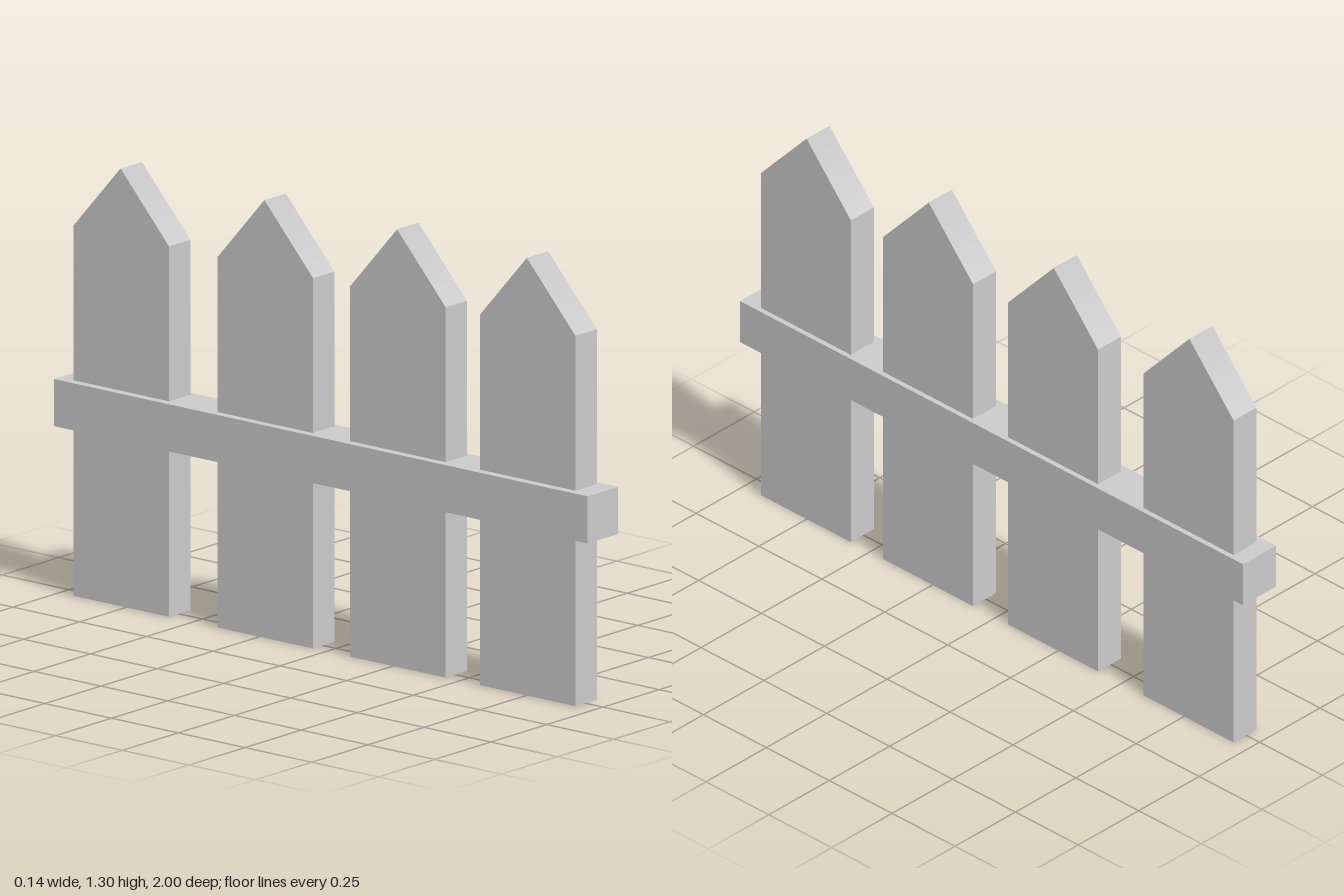
import * as THREE from 'three';

const PEAK = 1.3;
const SHOULDER = 1.1;
const HALF_WIDTH = 0.179;
const THICKNESS = 0.095;

// Pointed board lying in the y/z plane, with a softly shaded ridge
function picketGeometry() {
  const outline = new THREE.Shape([
    new THREE.Vector2(-HALF_WIDTH, 0),
    new THREE.Vector2(HALF_WIDTH, 0),
    new THREE.Vector2(HALF_WIDTH, SHOULDER),
    new THREE.Vector2(-0.003, PEAK),
    new THREE.Vector2(-HALF_WIDTH, SHOULDER),
  ]);
  const geometry = new THREE.ExtrudeGeometry(outline, { depth: THICKNESS, bevelEnabled: false });
  geometry.rotateY(-Math.PI / 2).translate(0.052, 0, 0);

  // Blend the two slopes across the ridge
  const { position, normal } = geometry.attributes;
  for (let i = 0; i < position.count; i++) {
    if (position.getY(i) > PEAK - 0.001 && Math.abs(normal.getX(i)) < 0.5) normal.setXYZ(i, 0, 1, 0);
  }
  return geometry;
}

export function createModel() {
  const fence = new THREE.Group();
  fence.name = 'picketFence';
  const material = new THREE.MeshStandardMaterial({ color: 0xcccccc });

  // Four upright boards, slightly unevenly spaced
  const picket = picketGeometry();
  [0.754, 0.268, -0.229, -0.768].forEach((z, i) => {
    const mesh = new THREE.Mesh(picket, material);
    mesh.name = `picket${i + 1}`;
    mesh.position.z = z;
    fence.add(mesh);
  });

  // Horizontal rail running through all boards
  const rail = new THREE.Mesh(new THREE.BoxGeometry(0.136, 0.14, 2), material);
  rail.name = 'rail';
  rail.position.set(0, 0.57, 0);
  fence.add(rail);

  return fence;
}
